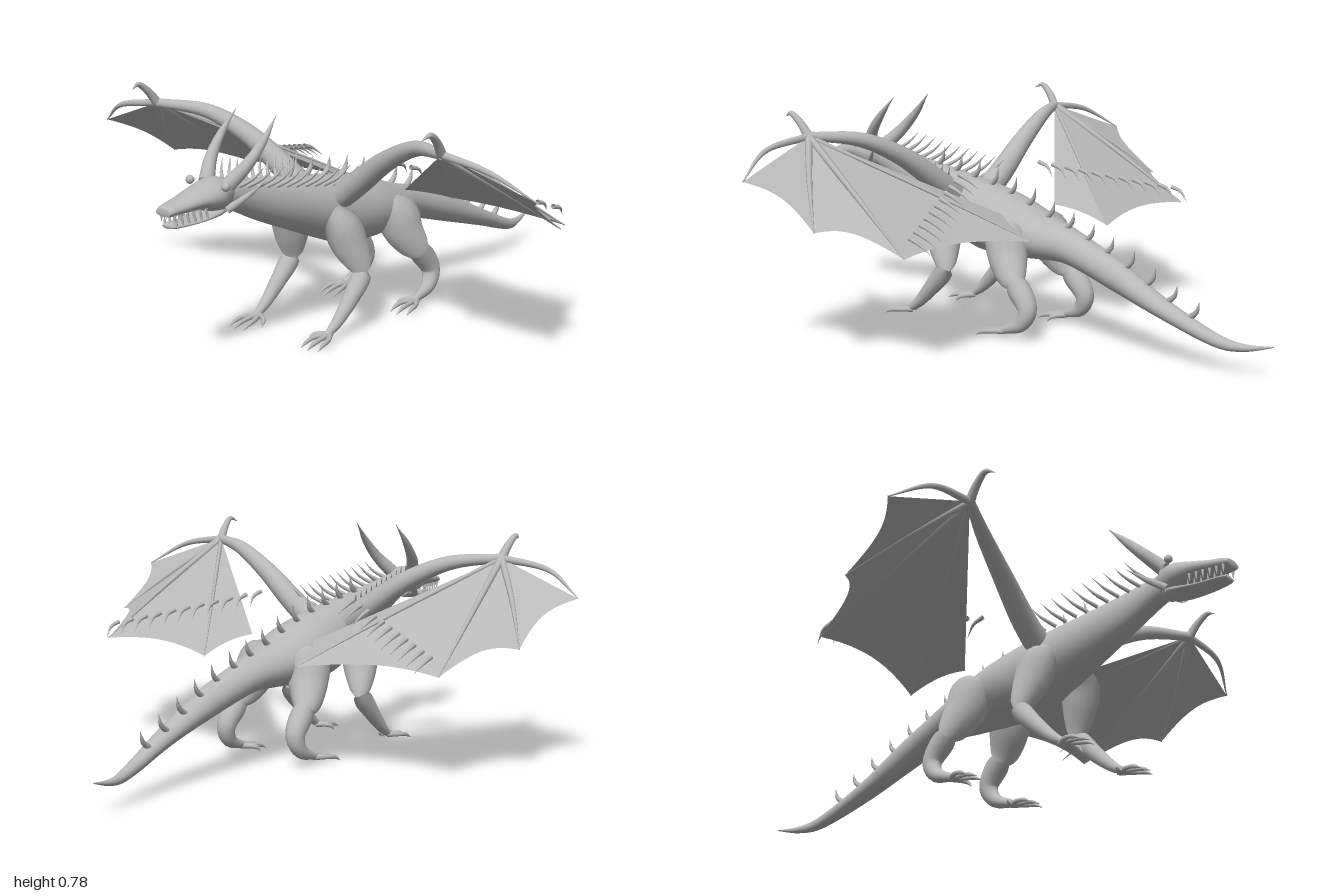
import * as THREE from 'three';

const hide = new THREE.MeshStandardMaterial({ color: 0xb8b8b8, side: THREE.DoubleSide });
hide.name = 'grey hide';

function add(parent, name, geometry) {
  const mesh = new THREE.Mesh(geometry, hide);
  mesh.name = name;
  parent.add(mesh);
  return mesh;
}

// Smoothly interpolate rows of numbers, t in row units
function sample(rows, t) {
  const n = rows.length - 1;
  const i = Math.min(Math.floor(t), n - 1), f = t - i;
  const p = [rows[Math.max(i - 1, 0)], rows[i], rows[i + 1], rows[Math.min(i + 2, n)]];
  return rows[0].map((_, k) => {
    const [a, b, c, d] = p.map(r => r[k]);
    return b + 0.5 * f * (c - a + f * (2 * a - 5 * b + 4 * c - d + f * (3 * (b - c) + d - a)));
  });
}

// Closed skin through oval sections [z, centreX, top, bottom, halfWidth], ordered by rising z
function skin(rows, steps = 4, sides = 24) {
  const pos = [], index = [], n = (rows.length - 1) * steps;
  for (let i = 0; i <= n; i++) {
    const [z, cx, top, bottom, w] = sample(rows, i / steps);
    for (let j = 0; j < sides; j++) {
      const a = (j / sides) * Math.PI * 2;
      pos.push(cx + w * Math.cos(a), (top + bottom) / 2 + ((top - bottom) / 2) * Math.sin(a), z);
      if (i < n) {
        const k = (j + 1) % sides, p = i * sides, q = p + sides;
        index.push(p + j, p + k, q + k, p + j, q + k, q + j);
      }
    }
  }
  for (const end of [0, n]) {
    const [z, cx, top, bottom] = sample(rows, end / steps);
    const c = pos.length / 3;
    pos.push(cx, (top + bottom) / 2, z);
    for (let j = 0; j < sides; j++) {
      const a = end * sides + j, b = end * sides + (j + 1) % sides;
      index.push(c, ...(end ? [a, b] : [b, a]));
    }
  }
  const g = new THREE.BufferGeometry();
  g.setAttribute('position', new THREE.Float32BufferAttribute(pos, 3));
  g.setIndex(index);
  g.computeVertexNormals();
  return g;
}

// Tube through points with one radius per point
function limb(points, radii, segments = 16, sides = 12) {
  const curve = new THREE.CatmullRomCurve3(points.map(p => new THREE.Vector3(...p)));
  const g = new THREE.TubeGeometry(curve, segments, 1, sides);
  const pos = g.attributes.position, v = new THREE.Vector3();
  const rows = radii.map(r => [r]);
  for (let i = 0; i <= segments; i++) {
    const c = curve.getPointAt(i / segments);
    const t = curve.getUtoTmapping(i / segments) * (radii.length - 1);
    const r = Math.max(0.0005, sample(rows, t)[0]);
    for (let j = 0; j <= sides; j++) {
      const k = i * (sides + 1) + j;
      v.fromBufferAttribute(pos, k).sub(c).multiplyScalar(r).add(c);
      pos.setXYZ(k, v.x, v.y, v.z);
    }
  }
  return g;
}

// Curved, pointed spike: base, tip, and an offset for the bend in the middle
function spike(base, tip, bend, r) {
  const mid = base.map((b, i) => (b + tip[i]) / 2 + bend[i]);
  return limb([base, mid, tip], [r, r * 0.7, 0.0005], 6, 8);
}

const bodyRows = [
  [-1.0, -0.035, 0.109, 0.105, 0.002], [-0.9, -0.02, 0.102, 0.077, 0.013],
  [-0.8, 0.0, 0.125, 0.08, 0.022], [-0.6, 0.018, 0.21, 0.142, 0.038],
  [-0.4, 0.012, 0.305, 0.2, 0.05], [-0.2, 0.0, 0.375, 0.255, 0.068],
  [-0.08, 0.0, 0.41, 0.257, 0.1], [0.06, 0.0, 0.46, 0.25, 0.128],
  [0.2, 0.0, 0.495, 0.257, 0.125], [0.32, 0.0, 0.515, 0.3, 0.108],
  [0.45, 0.0, 0.535, 0.355, 0.083], [0.6, 0.0, 0.56, 0.42, 0.055],
  [0.7, 0.0, 0.577, 0.47, 0.045], [0.78, 0.0, 0.585, 0.505, 0.04],
];

function backHeight(z) {
  const i = Math.max(1, bodyRows.findIndex(r => r[0] >= z));
  const a = bodyRows[i - 1], b = bodyRows[i];
  return THREE.MathUtils.lerp(a[2], b[2], (z - a[0]) / (b[0] - a[0]));
}

function buildHead(model) {
  const head = new THREE.Group();
  head.name = 'head';
  model.add(head);
  add(head, 'skull', skin([
    [0.73, 0, 0.582, 0.5, 0.038], [0.77, 0, 0.597, 0.488, 0.058], [0.81, 0, 0.595, 0.495, 0.068],
    [0.87, 0, 0.578, 0.512, 0.058], [0.93, 0, 0.562, 0.515, 0.046], [0.98, 0, 0.553, 0.513, 0.037],
    [1.0, 0, 0.542, 0.517, 0.031]]));
  add(head, 'lowerJaw', skin([
    [0.75, 0, 0.525, 0.485, 0.035], [0.8, 0, 0.51, 0.477, 0.048], [0.88, 0, 0.493, 0.474, 0.043],
    [0.96, 0, 0.492, 0.474, 0.033], [0.985, 0, 0.49, 0.477, 0.022]]));
  for (const s of [-1, 1]) {
    add(head, 'eye', new THREE.SphereGeometry(0.014, 16, 12)).position.set(s * 0.077, 0.583, 0.81);
    add(head, 'horn', limb([[s * 0.045, 0.575, 0.77], [s * 0.078, 0.635, 0.715], [s * 0.09, 0.7, 0.655],
      [s * 0.086, 0.77, 0.59]], [0.025, 0.02, 0.013, 0.001]));
    add(head, 'cheekHorn', spike([s * 0.05, 0.5, 0.78], [s * 0.112, 0.58, 0.67], [0, -0.004, 0], 0.013));
    for (let i = 0; i < 6; i++) {
      const z = 0.865 + i * 0.023, x = s * (0.046 - i * 0.0035);
      add(head, 'upperTooth', spike([x, 0.523, z], [x, 0.495, z], [0, 0, 0], 0.005));
      add(head, 'lowerTooth', spike([x * 0.88, 0.485, z - 0.01], [x * 0.92, 0.51, z - 0.01], [0, 0, 0], 0.004));
    }
  }
}

function buildSpines(model) {
  // Ridge along the back and tail
  for (let i = 0; i < 14; i++) {
    const z = 0.46 - i * 0.089, y = backHeight(z), h = 0.07 - i * 0.001;
    const x = z < -0.3 ? 0.005 : 0;
    add(model, 'backSpine', spike([x, y - 0.015, z], [x, y + h * 0.85, z - 0.045], [0, -0.004, -0.012], 0.011));
  }
  // Swept rows beside the neck
  for (const s of [-1, 1]) for (let i = 0; i < 11; i++) {
    const z = 0.71 - i * 0.04, x = 0.03 + i * 0.0045, y = backHeight(z) - 0.022;
    add(model, 'neckSpine', spike([s * x, y, z], [s * (x + 0.062), y + 0.065, z - 0.06],
      [s * 0.008, -0.006, 0], 0.007));
  }
}

function buildLegs(model, s) {
  add(model, 'frontUpperLeg', limb([[s * 0.08, 0.41, 0.32], [s * 0.112, 0.36, 0.31], [s * 0.13, 0.29, 0.29],
    [s * 0.15, 0.21, 0.26], [s * 0.154, 0.175, 0.25]], [0.03, 0.062, 0.06, 0.035, 0.003], 20, 16));
  add(model, 'frontLowerLeg', limb([[s * 0.157, 0.21, 0.25], [s * 0.158, 0.185, 0.265], [s * 0.16, 0.12, 0.325],
    [s * 0.159, 0.055, 0.395], [s * 0.157, 0.022, 0.445]], [0.004, 0.033, 0.028, 0.019, 0.011], 20, 14));
  add(model, 'hindThigh', limb([[s * 0.06, 0.37, 0.03], [s * 0.095, 0.34, 0.012], [s * 0.118, 0.27, -0.012],
    [s * 0.14, 0.2, -0.055], [s * 0.142, 0.165, -0.08]], [0.03, 0.075, 0.068, 0.045, 0.004], 20, 16));
  add(model, 'hindLowerLeg', limb([[s * 0.14, 0.22, -0.045], [s * 0.142, 0.18, -0.08], [s * 0.147, 0.11, -0.128],
    [s * 0.153, 0.06, -0.105], [s * 0.157, 0.025, -0.02]], [0.018, 0.04, 0.033, 0.026, 0.013], 20, 14));
  // Long clawed toes, three forward and one thumb
  for (const [z, name] of [[0.44, 'frontToe'], [-0.02, 'hindToe']]) {
    for (const [dx, len] of [[-0.028, 0.095], [0.006, 0.105], [0.037, 0.09], [-0.05, 0.03]]) {
      const x = 0.157;
      add(model, name, limb([[s * x, 0.025, z - 0.015], [s * (x + dx * 0.85), 0.022, z + len * 0.35],
        [s * (x + dx), 0.016, z + len * 0.7], [s * (x + dx * 1.05), 0.002, z + len]],
        [0.011, 0.008, 0.007, 0.001], 10, 8));
    }
  }
}

function buildWing(model, s) {
  const wing = new THREE.Group();
  wing.name = s > 0 ? 'leftWing' : 'rightWing';
  model.add(wing);
  const wrist = [s * 0.61, 0.695, 0.435];
  add(wing, 'wingArm', limb([[s * 0.07, 0.44, 0.28], [s * 0.16, 0.505, 0.285], [s * 0.3, 0.605, 0.31],
    [s * 0.45, 0.675, 0.355], wrist], [0.045, 0.042, 0.034, 0.025, 0.016], 24, 14));
  add(wing, 'wingClaw', limb([wrist, [s * 0.617, 0.74, 0.47], [s * 0.622, 0.768, 0.51], [s * 0.615, 0.755, 0.543]],
    [0.016, 0.013, 0.009, 0.001]));
  // Fingers as [middle, tip]; the leading one arches ahead of the skin
  const fingers = [
    [[0.79, 0.665, 0.437], [0.925, 0.585, 0.385]],
    [[0.732, 0.573, 0.288], [0.845, 0.44, 0.135]],
    [[0.655, 0.54, 0.16], [0.697, 0.37, -0.12]],
    [[0.402, 0.535, 0.125], [0.192, 0.362, -0.19]],
  ].map(f => [wrist, ...f.map(p => [s * p[0], p[1], p[2]])]);
  fingers.forEach((f, i) => add(wing, 'wingFinger',
    limb(f, i < 3 ? [0.013, 0.009, 0.002] : [0.008, 0.006, 0.002], 16, 8)));
  // Skin panels between the fingers and on to the flank, with scalloped outer edges
  const root = new THREE.Vector3(...wrist);
  const tips = [...fingers.map(f => f[2]), [s * 0.13, 0.42, 0.0]].map(p => new THREE.Vector3(...p));
  const sag = [0.12, 0.11, 0.06, 0.03];
  for (let i = 0; i < 4; i++) {
    const n = 12, pos = [], index = [];
    for (let a = 0; a <= n; a++) for (let b = 0; b <= n; b++) {
      const u = a / n, v = (b / n) * (1 - sag[i] * 4 * u * (1 - u));
      const p = root.clone().lerp(tips[i].clone().lerp(tips[i + 1], u), v);
      pos.push(p.x, p.y, p.z);
      if (a < n && b < n) {
        const k = a * (n + 1) + b, m = k + n + 1;
        const quad = [k, k + 1, m + 1, k, m + 1, m];
        index.push(...(s > 0 ? quad : quad.reverse()));
      }
    }
    const g = new THREE.BufferGeometry();
    g.setAttribute('position', new THREE.Float32BufferAttribute(pos, 3));
    g.setIndex(index);
    g.computeVertexNormals();
    add(wing, 'wingMembrane', g);
  }
  // Row of spikes lying back across the wing
  for (let i = 0; i < 11; i++) {
    const t = i / 10, x = 0.2 + 0.46 * t, y = 0.55 - 0.12 * t, z = 0.14 - 0.245 * t;
    add(wing, 'wingSpike', spike([s * x, y, z], [s * (x - 0.015), y - 0.045, z - 0.08],
      [s * 0.008, 0.01, 0], 0.008));
  }
}

export function createModel() {
  const model = new THREE.Group();
  model.name = 'dragon';
  add(model, 'body', skin(bodyRows, 5, 28));
  buildHead(model);
  buildSpines(model);
  for (const s of [-1, 1]) {
    buildLegs(model, s);
    buildWing(model, s);
  }
  return model;
}
